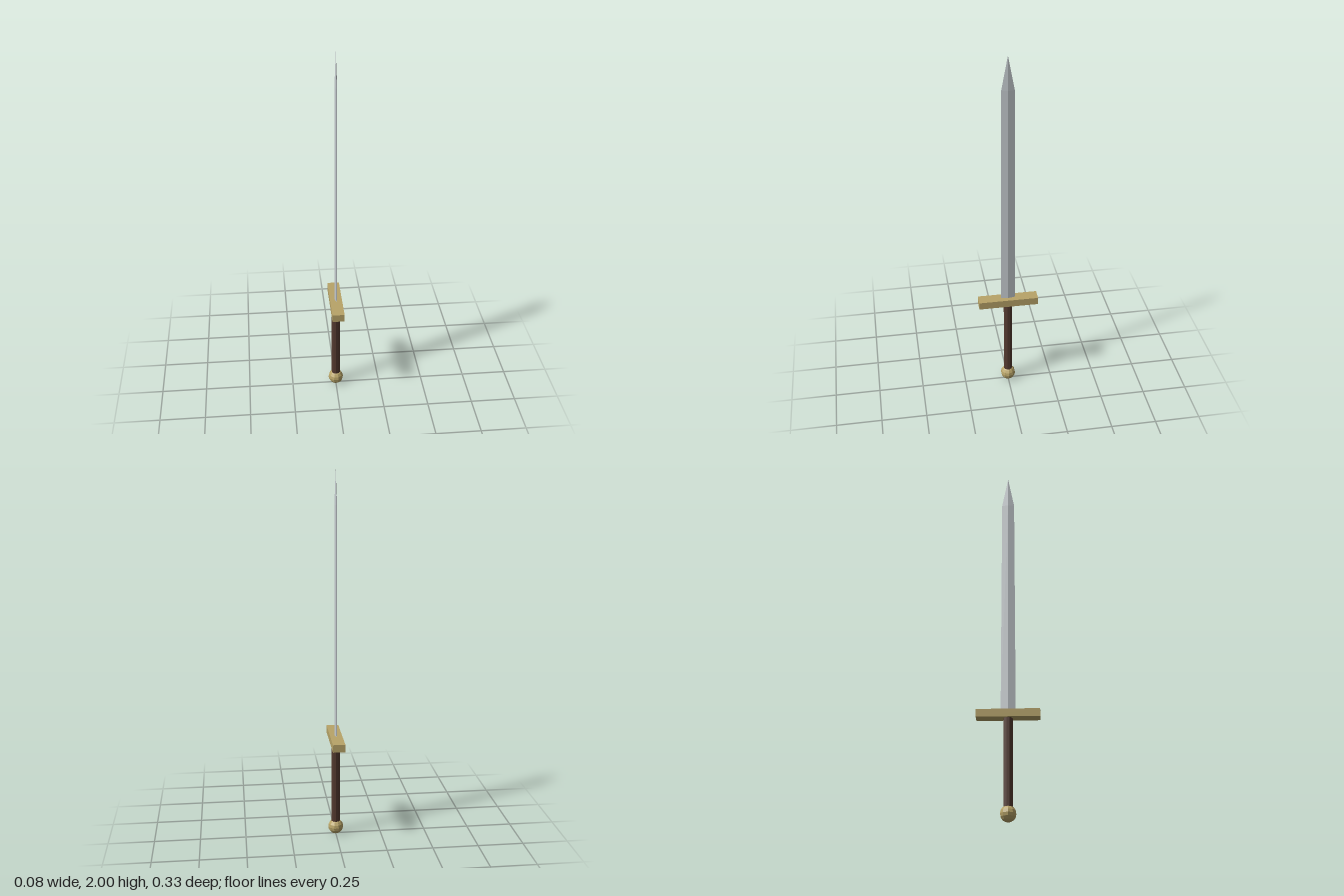
import * as THREE from 'three';

const material = (color) => new THREE.MeshStandardMaterial({ color, flatShading: true });

function addPart(group, name, geometry, mat, y) {
  const mesh = new THREE.Mesh(geometry, mat);
  mesh.name = name;
  mesh.position.y = y;
  group.add(mesh);
  return mesh;
}

// Loft diamond cross-sections [y, half thickness in x, half width in z] up to a point
function bladeGeometry(sections, tipY) {
  const positions = [];
  const index = [];
  for (const [y, hx, hz] of sections) {
    positions.push(hx, y, 0, 0, y, -hz, -hx, y, 0, 0, y, hz);
  }
  positions.push(0, tipY, 0);
  const tip = sections.length * 4;
  for (let s = 0; s < sections.length; s++) {
    for (let i = 0; i < 4; i++) {
      const a = s * 4 + i;
      const b = s * 4 + (i + 1) % 4;
      if (s === sections.length - 1) index.push(a, b, tip);
      else index.push(a, b, b + 4, a, b + 4, a + 4);
    }
  }
  index.push(0, 2, 1, 0, 3, 2);
  const geometry = new THREE.BufferGeometry();
  geometry.setAttribute('position', new THREE.Float32BufferAttribute(positions, 3));
  geometry.setIndex(index);
  const flat = geometry.toNonIndexed();
  flat.computeVertexNormals();
  return flat;
}

export function createModel() {
  const model = new THREE.Group();
  model.name = 'sword';

  const steel = material(0xc3c9cd);
  const brass = material(0xb8a468);
  const leather = material(0x543a30);

  // Blade: slightly tapering diamond section with a sharp point
  addPart(model, 'blade', bladeGeometry([[0.56, 0.008, 0.039], [1.82, 0.007, 0.034]], 2), steel, 0);

  // Crossguard, long along z
  addPart(model, 'crossguard', new THREE.BoxGeometry(0.066, 0.042, 0.33), brass, 0.558);

  // Faceted grip
  addPart(model, 'grip', new THREE.CylinderGeometry(0.024, 0.024, 0.47, 10), leather, 0.31);

  // Ball pommel
  addPart(model, 'pommel', new THREE.SphereGeometry(0.042, 10, 8), brass, 0.042);

  return model;
}
